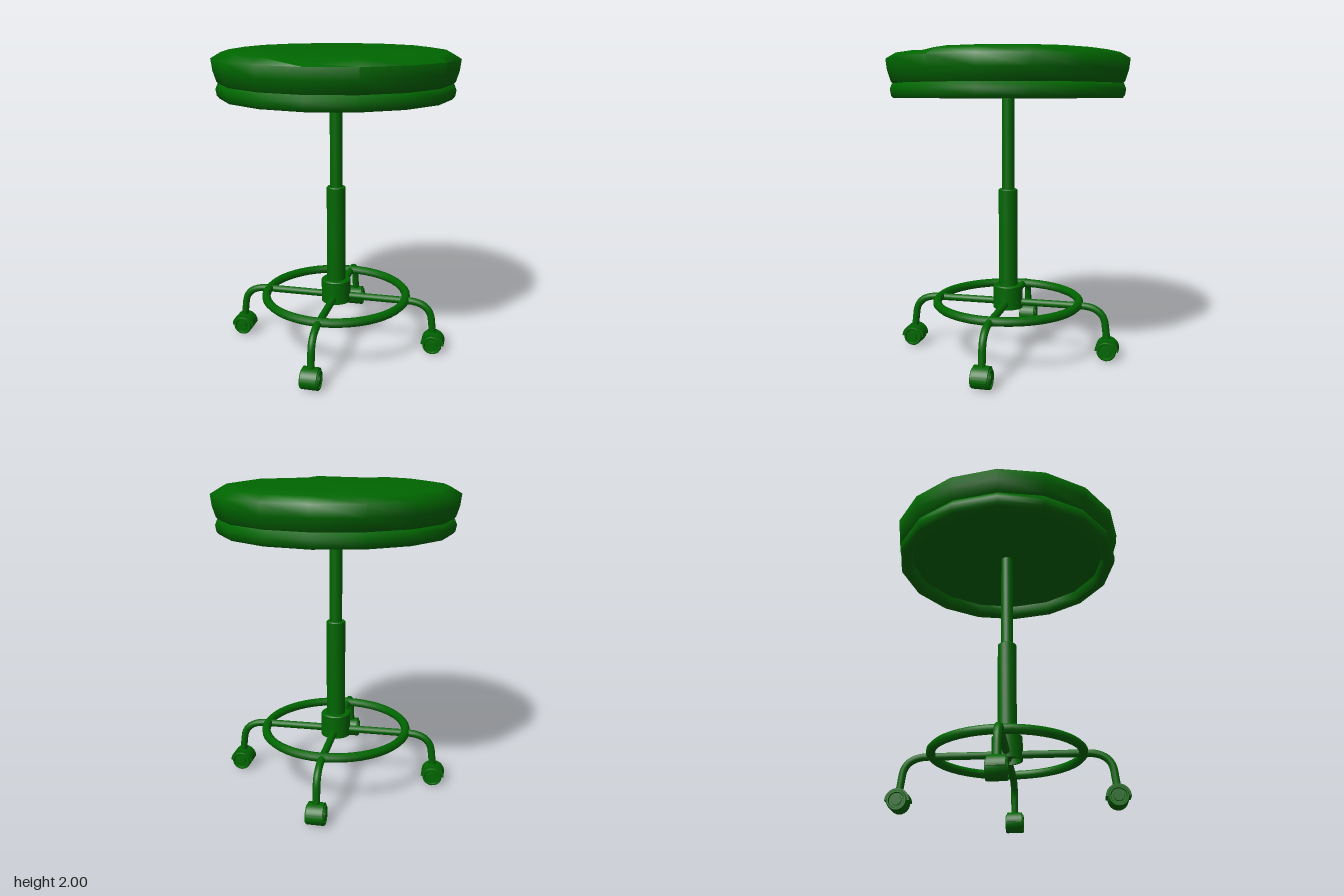
import * as THREE from 'three';
import { toCreasedNormals } from 'three/addons/utils/BufferGeometryUtils.js';

const material = new THREE.MeshStandardMaterial({ color: 0x006600 });

function add(parent, name, geometry, x = 0, y = 0, z = 0, crease = 0.7) {
  const mesh = new THREE.Mesh(toCreasedNormals(geometry, crease), material);
  mesh.name = name;
  mesh.position.set(x, y, z);
  parent.add(mesh);
  return mesh;
}

const lathe = (points, segments) =>
  new THREE.LatheGeometry(points.map(([r, y]) => new THREE.Vector2(r, y)), segments);

// Upright round post with a small bevel on the top edge
const post = (r, y0, y1, bevel = 0.006) =>
  lathe([[0, y0], [r, y0], [r, y1 - bevel], [r - bevel, y1], [0, y1]], 24);

// Castor: wheel with a grooved face on each side and a half-round hood, axle along z
function makeCastor() {
  const castor = new THREE.Group();
  castor.name = 'castor';
  const half = [[0, 0.061], [0.03, 0.061], [0.032, 0.052], [0.046, 0.052],
    [0.05, 0.06], [0.058, 0.06], [0.063, 0.053]];
  const profile = [...half.map(([r, z]) => [r, -z]), ...half.reverse()];
  add(castor, 'wheel', lathe(profile, 24).rotateX(Math.PI / 2));

  const arc = new THREE.Shape();
  arc.absarc(0, 0, 0.076, 0, Math.PI, false);
  arc.absarc(0, 0, 0.058, Math.PI, 0, true);
  arc.closePath();
  const hood = new THREE.ExtrudeGeometry(arc, { depth: 0.1, bevelEnabled: false, curveSegments: 16 });
  add(castor, 'hood', hood.translate(0, 0, -0.05));
  return castor;
}

// Spoke running out from the hub and bending down to its castor
function makeLeg() {
  const leg = new THREE.Group();
  leg.name = 'leg';
  const path = new THREE.CurvePath();
  const v = (x, y) => new THREE.Vector3(x, y, 0);
  path.add(new THREE.LineCurve3(v(0, 0.35), v(0.5, 0.35)));
  path.add(new THREE.CubicBezierCurve3(v(0.5, 0.35), v(0.59, 0.348), v(0.645, 0.31), v(0.653, 0.23)));
  path.add(new THREE.LineCurve3(v(0.653, 0.23), v(0.666, 0.12)));
  add(leg, 'legTube', new THREE.TubeGeometry(path, 48, 0.024, 12, false));
  const castor = makeCastor();
  castor.position.set(0.667, 0.067, 0);
  leg.add(castor);
  return leg;
}

// Padded cushion with a slight sag along part of its front upper edge
function cushionGeometry() {
  const geometry = lathe([[0, 1.776], [0.69, 1.776], [0.728, 1.785], [0.745, 1.803], [0.766, 1.87],
    [0.775, 1.942], [0.71, 1.98], [0.6, 1.997], [0.45, 2], [0, 2]], 16);
  const p = geometry.attributes.position;
  for (let i = 0; i < p.count; i++) {
    const angle = Math.atan2(p.getX(i), p.getZ(i));
    const onEdge = p.getY(i) > 1.96 && Math.hypot(p.getX(i), p.getZ(i)) > 0.5;
    if (onEdge && angle > -0.1 && angle < 0.85) {
      p.setY(i, p.getY(i) - 0.025 * Math.max(0, Math.cos(8 * angle)));
    }
  }
  return geometry;
}

export function createModel() {
  const stool = new THREE.Group();
  stool.name = 'stool';

  // Seat: an open lower band around the recessed underside of the cushion
  add(stool, 'seatBand', lathe([[0.67, 1.78], [0.67, 1.71], [0.685, 1.698], [0.73, 1.698],
    [0.745, 1.715], [0.752, 1.755], [0.738, 1.79], [0.7, 1.796]], 16), 0, 0, 0, 1.2);
  add(stool, 'seatCushion', cushionGeometry(), 0, 0, 0, 1.2);

  // Telescopic column
  add(stool, 'piston', post(0.041, 1.09, 1.785));
  add(stool, 'columnSleeve', post(0.062, 0.44, 1.11));

  // Hub, hollow from below so the crossing spokes show
  add(stool, 'hub', lathe([[0, 0.44], [0.086, 0.44], [0.086, 0.312], [0.098, 0.312],
    [0.098, 0.462], [0.092, 0.468], [0, 0.468]], 24));

  // Foot ring with an eight-sided section
  const section = [];
  for (let i = 0; i <= 8; i++) {
    const a = (i + 0.5) * Math.PI / 4;
    section.push([0.474 + 0.029 * Math.cos(a), 0.355 + 0.029 * Math.sin(a)]);
  }
  add(stool, 'footRing', lathe(section, 48), 0, 0, 0, 0.9);

  // Four legs
  for (let i = 0; i < 4; i++) {
    const leg = makeLeg();
    leg.rotation.y = i * Math.PI / 2;
    stool.add(leg);
  }
  return stool;
}
